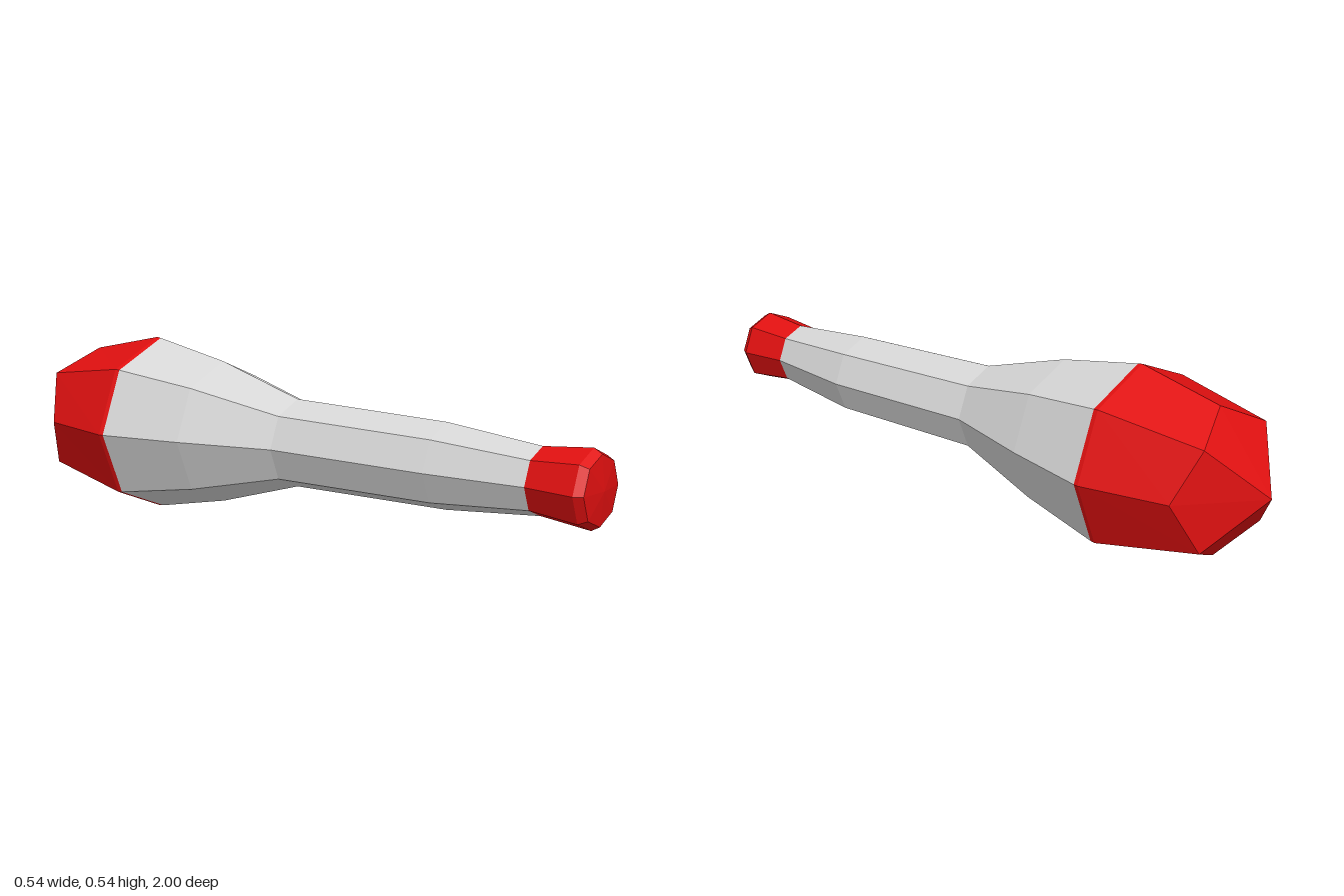
import * as THREE from 'three';

const SIDES = 8;

// Cross-sections: z, radius, centre x, centre y, and optional z and radius shift of the diagonal corners
const TIP = [-1, 0, 0.01, 0.275];
const SHOULDER = [-0.825, 0.215, 0.005, 0.275, -0.053, -0.01];
const WIDEST = [-0.567, 0.272, 0, 0.274];
const HEAD_EDGE = [-0.553, 0.27, 0, 0.274];
const BELLY = [-0.29, 0.218, -0.01, 0.277];
const NECK = [0, 0.132, -0.016, 0.277];
const GRIP = [0.51, 0.125, 0, 0.27];
const KNOB_EDGE = [0.815, 0.096, -0.01, 0.27];
const KNOB_RIM = [0.965, 0.112, -0.01, 0.268];
const KNOB_FACE = [0.99, 0.098, -0.01, 0.268];
const KNOB_END = [1, 0, -0.01, 0.268];

function corner([z, r, cx, cy, dz = 0, dr = 0], i) {
  const a = (i % SIDES) * Math.PI * 2 / SIDES;
  const odd = i % 2;
  const radius = r + odd * dr;
  return [cx + radius * Math.cos(a), cy + radius * Math.sin(a), z + odd * dz];
}

// Skin a run of octagonal sections; zero-radius sections become points
function skin(sections) {
  const pos = [];
  for (let s = 0; s < sections.length - 1; s++) {
    const A = sections[s], B = sections[s + 1];
    for (let i = 0; i < SIDES; i++) {
      const a = corner(A, i), b = corner(A, i + 1);
      const c = corner(B, i + 1), d = corner(B, i);
      if (A[1] > 0) pos.push(...a, ...b, ...c);
      if (B[1] > 0) pos.push(...a, ...c, ...d);
    }
  }
  const geo = new THREE.BufferGeometry();
  geo.setAttribute('position', new THREE.Float32BufferAttribute(pos, 3));
  geo.computeVertexNormals();
  return geo;
}

export function createModel() {
  const red = new THREE.MeshStandardMaterial({ color: 0xe01010, flatShading: true });
  red.name = 'red';
  const grey = new THREE.MeshStandardMaterial({ color: 0xd6d6d6, flatShading: true });
  grey.name = 'lightGrey';

  const group = new THREE.Group();
  group.name = 'club';
  const add = (name, material, sections) => {
    const mesh = new THREE.Mesh(skin(sections), material);
    mesh.name = name;
    group.add(mesh);
  };

  // Pointed head, tapering body and flared end knob
  add('head', red, [TIP, SHOULDER, WIDEST, HEAD_EDGE]);
  add('body', grey, [HEAD_EDGE, BELLY, NECK, GRIP, KNOB_EDGE]);
  add('knob', red, [KNOB_EDGE, KNOB_RIM, KNOB_FACE, KNOB_END]);
  return group;
}
